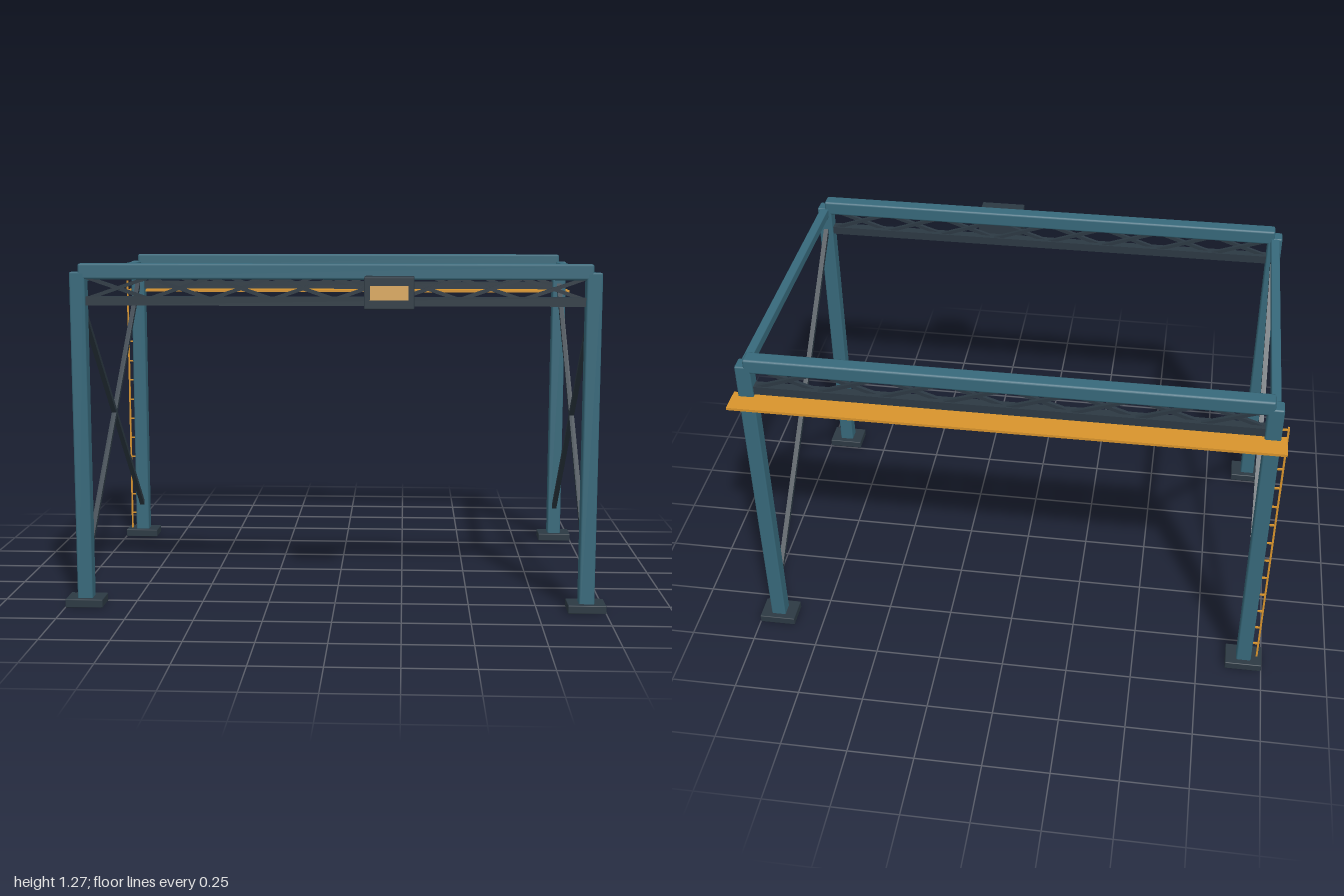
import * as THREE from 'three';
import { RoundedBoxGeometry } from 'three/addons/geometries/RoundedBoxGeometry.js';

const paint = (color) => new THREE.MeshStandardMaterial({ color });

export function createModel() {
  const model = new THREE.Group();
  const teal = paint(0x37697b), dark = paint(0x2c3943);
  const amber = paint(0xd8942c), glow = paint(0xdcab60);
  const POST_X = 0.93, FRONT_Z = 0.555, BACK_Z = -0.602;

  // box given by its size and centre; bevel softens the edges
  function block(name, material, size, centre, bevel = 0, parent = model) {
    const geometry = bevel
      ? new RoundedBoxGeometry(...size, 1, bevel)
      : new THREE.BoxGeometry(...size);
    const mesh = new THREE.Mesh(geometry, material);
    mesh.name = name;
    mesh.position.set(...centre);
    parent.add(mesh);
    return mesh;
  }

  // square bar running between two points
  function bar(name, material, from, to, thickness, parent = model) {
    const a = new THREE.Vector3(...from), b = new THREE.Vector3(...to);
    const mid = a.clone().add(b).multiplyScalar(0.5);
    const mesh = block(name, material, [thickness, thickness, a.distanceTo(b)], mid.toArray(), 0, parent);
    mesh.lookAt(b);
    return mesh;
  }

  // portal frames: posts, feet, top beam and lattice truss
  for (const [side, z] of [['front', FRONT_Z], ['back', BACK_Z]]) {
    const frame = new THREE.Group();
    frame.name = side + 'Frame';
    model.add(frame);
    for (const s of [-1, 1]) {
      block('post', teal, [0.057, 1.238, 0.057], [s * POST_X, 0.624, z], 0.006, frame);
      block('footPlate', dark, [0.14, 0.031, 0.103], [s * POST_X, 0.0155, z], 0.003, frame);
    }
    block('topBeam', teal, [1.855, 0.057, 0.057], [0, 1.245, z], 0.008, frame);
    block('lowerChord', dark, [1.81, 0.032, 0.036], [0, 1.138, z], 0, frame);

    const panels = 8, step = 1.8 / panels;
    for (let i = 0; i < panels; i++) {
      const x0 = -0.9 + i * step, x1 = x0 + step;
      bar('trussDiagonal', dark, [x0, 1.145, z + 0.006], [x1, 1.222, z + 0.006], 0.013, frame);
      bar('trussDiagonal', dark, [x0, 1.222, z - 0.006], [x1, 1.145, z - 0.006], 0.013, frame);
    }
  }

  // side rails and crossed braces
  for (const s of [-1, 1]) {
    const x = s * POST_X;
    block('sideRail', teal, [0.034, 0.036, FRONT_Z - BACK_Z], [x, 1.223, (FRONT_Z + BACK_Z) / 2], 0.003);
    bar('sideBrace', dark, [x, 1.16, FRONT_Z], [x, 0.13, BACK_Z], 0.019);
    bar('sideBrace', dark, [x, 0.13, FRONT_Z], [x, 1.16, BACK_Z], 0.019);
  }

  // walkway along the back
  block('walkway', amber, [1.96, 0.01, 0.098], [0, 1.111, -0.655]);

  // ladder beside the back post
  const ladder = new THREE.Group();
  ladder.name = 'ladder';
  model.add(ladder);
  for (const x of [-0.981, -0.935]) {
    block('ladderRail', amber, [0.007, 1.125, 0.007], [x, 0.593, BACK_Z], 0, ladder);
  }
  for (let i = 0; i < 13; i++) {
    block('ladderRung', amber, [0.046, 0.006, 0.006], [-0.958, 0.1 + i * 0.087, BACK_Z], 0, ladder);
  }

  // display box on the front beam
  block('displayBox', dark, [0.177, 0.113, 0.12], [0.2, 1.175, 0.639], 0.004);
  block('displayPanel', glow, [0.135, 0.05, 0.008], [0.2, 1.176, 0.7]);

  return model;
}
